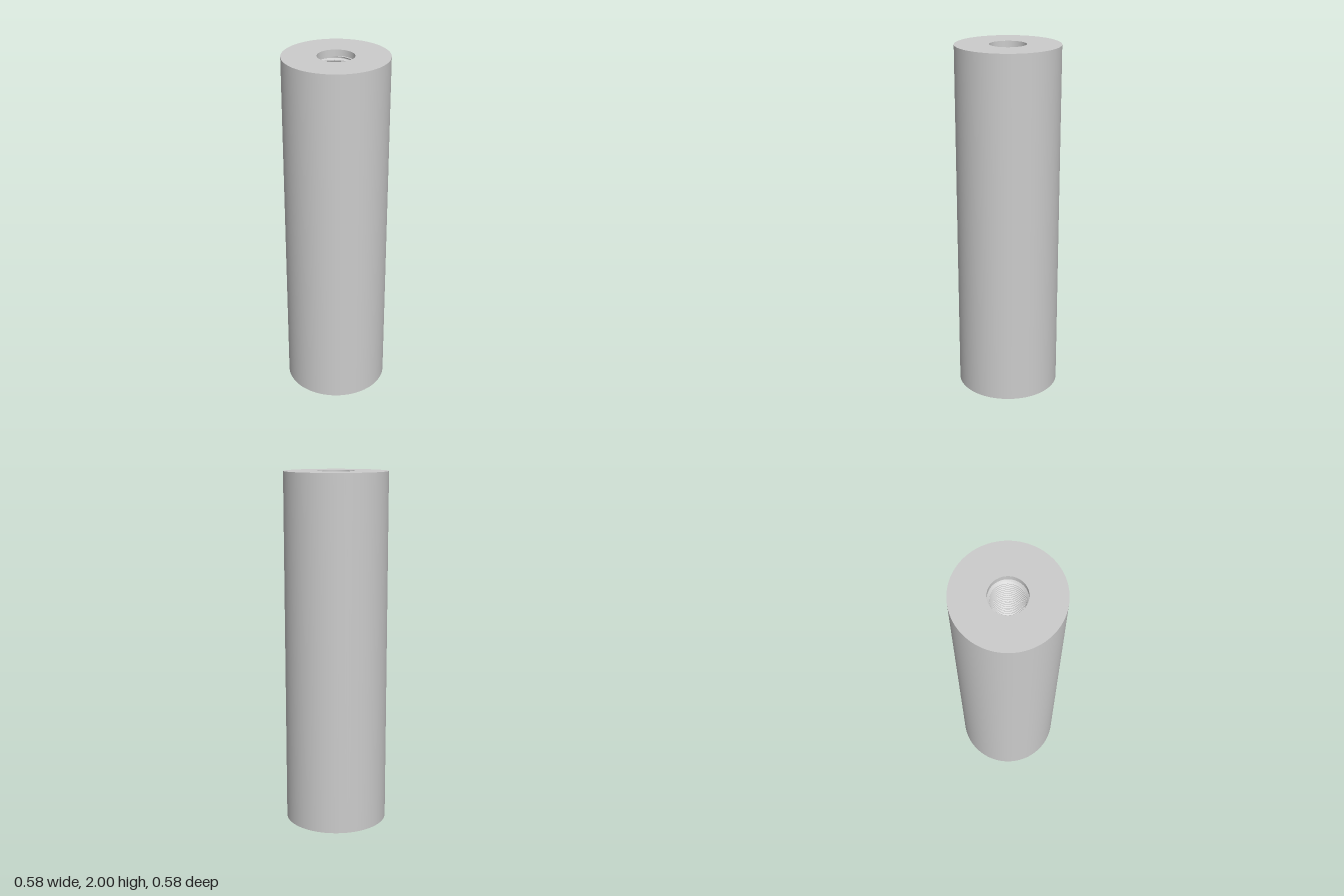
import * as THREE from 'three';

const HEIGHT = 2, OUTER = 0.289, ROOT = 0.101, CREST = 0.089;
const COLLAR = 0.035, PITCH = 0.022, SIDES = 64;

// Internal screw thread: a plane rolled into a tube whose rows climb as a helix
function threadGeometry(y0, y1) {
  // one pitch of the profile: [position along the pitch, height of the ridge]
  const profile = [[0, 0], [0.125, 0], [0.4375, 1], [0.6875, 1]];
  const turns = Math.ceil((y1 - y0) / PITCH) + 2;
  const rows = turns * profile.length;
  const geometry = new THREE.PlaneGeometry(1, 1, SIDES, rows);
  const position = geometry.attributes.position;
  for (let i = 0; i < position.count; i++) {
    const column = i % (SIDES + 1);
    const row = rows - Math.floor(i / (SIDES + 1));
    const [offset, ridge] = profile[row % profile.length];
    const turn = Math.floor(row / profile.length) + offset - column / SIDES;
    const y = THREE.MathUtils.clamp(y0 + turn * PITCH, y0, y1);
    // the ridge runs out into the plain bore at both ends
    const fade = Math.min(1, Math.min(y - y0, y1 - y) / (PITCH / 2));
    const radius = ROOT - (ROOT - CREST) * ridge * fade;
    const angle = (column / SIDES) * Math.PI * 2;
    position.setXYZ(i, radius * Math.cos(angle), y, radius * Math.sin(angle));
  }
  geometry.computeVertexNormals();
  return geometry;
}

export function createModel() {
  const group = new THREE.Group();
  group.name = 'threadedSpacer';
  const smooth = new THREE.MeshStandardMaterial({ color: 0xcccccc });
  const bore = new THREE.MeshStandardMaterial({ color: 0xcccccc, side: THREE.DoubleSide });
  const faceted = new THREE.MeshStandardMaterial({ color: 0xcccccc, flatShading: true, side: THREE.DoubleSide });

  const add = (name, geometry, material) => {
    const mesh = new THREE.Mesh(geometry, material);
    mesh.name = name;
    group.add(mesh);
    return mesh;
  };

  // Outer wall
  add('outerWall', new THREE.CylinderGeometry(OUTER, OUTER, HEIGHT, SIDES * 2, 1, true), smooth)
    .position.y = HEIGHT / 2;

  // Flat end faces and the plain bore just inside each of them
  for (const [end, y, dir] of [['top', HEIGHT, 1], ['bottom', 0, -1]]) {
    const face = add(end + 'Face', new THREE.RingGeometry(ROOT, OUTER, SIDES * 2), smooth);
    face.rotation.x = -dir * Math.PI / 2;
    face.position.y = y;
    add(end + 'Collar', new THREE.CylinderGeometry(ROOT, ROOT, COLLAR, SIDES, 1, true), bore)
      .position.y = y - dir * COLLAR / 2;
  }

  // Thread through the bore
  add('innerThread', threadGeometry(COLLAR, HEIGHT - COLLAR), faceted);
  return group;
}
